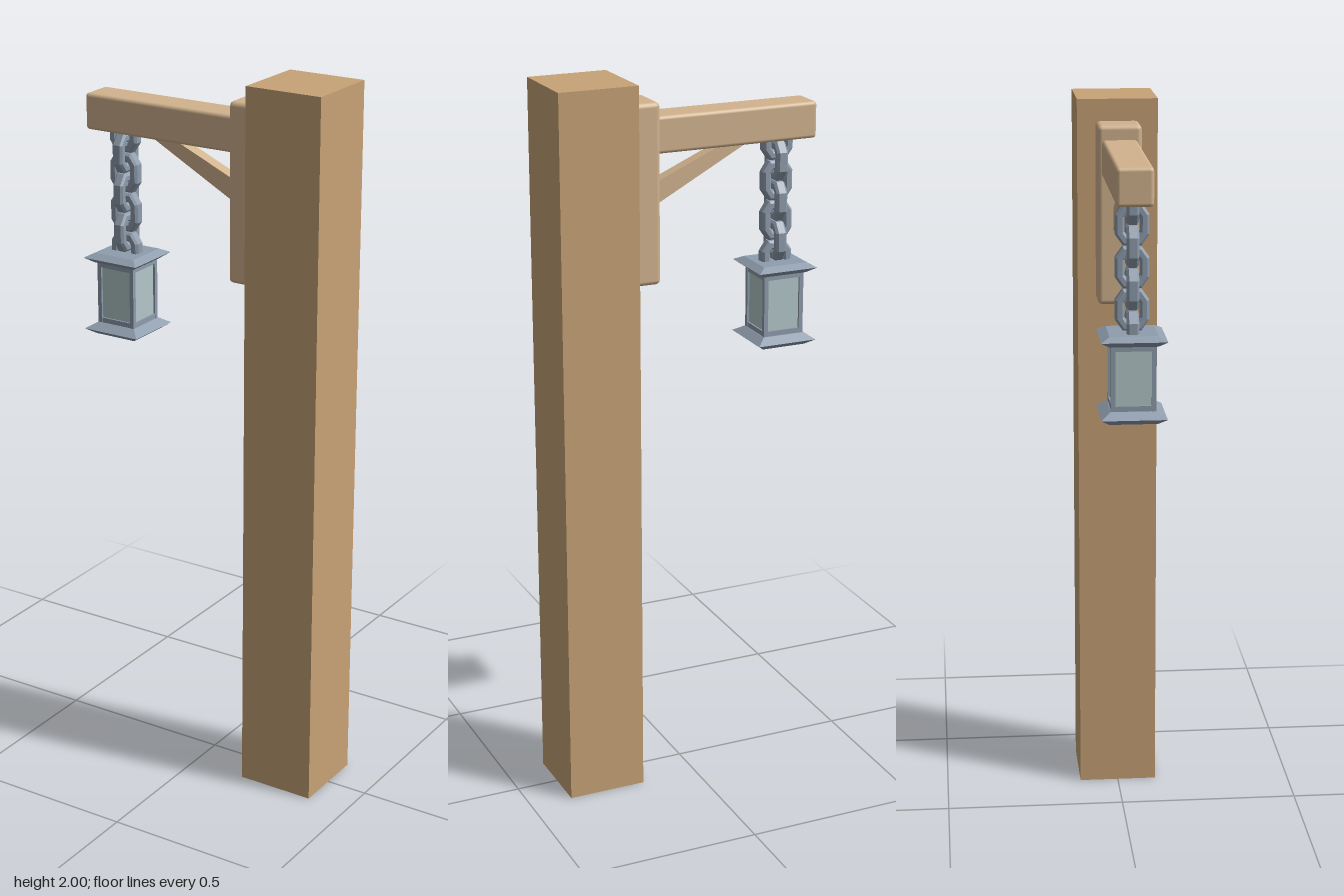
import * as THREE from 'three';
import { RoundedBoxGeometry } from 'three/addons/geometries/RoundedBoxGeometry.js';

const mat = (name, color, flatShading = false) => {
  const m = new THREE.MeshStandardMaterial({ color, flatShading });
  m.name = name;
  return m;
};

export function createModel() {
  const model = new THREE.Group();
  model.name = 'lanternPost';
  const wood = mat('postWood', 0xc8a377);
  const paleWood = mat('paleWood', 0xd2b48f);
  const iron = mat('iron', 0x8f9dad, true);
  const glass = mat('glass', 0xb4c8ca);

  const add = (parent, name, geometry, material, x = 0, y = 0, z = 0) => {
    const mesh = new THREE.Mesh(geometry, material);
    mesh.name = name;
    mesh.position.set(x, y, z);
    parent.add(mesh);
    return mesh;
  };

  // Timber: post, mounting plate and arm
  add(model, 'post', new THREE.BoxGeometry(0.22, 2, 0.22), wood, 0.272, 1, 0);
  add(model, 'mountingPlate', new RoundedBoxGeometry(0.11, 0.49, 0.12, 2, 0.013), paleWood, 0.134, 1.695, 0);
  add(model, 'arm', new RoundedBoxGeometry(0.485, 0.1, 0.096, 2, 0.01), paleWood, -0.1405, 1.85, 0);

  // Diagonal brace under the arm
  const braceShape = new THREE.Shape([
    [-0.205, 1.808], [0.09, 1.65], [0.09, 1.712], [-0.13, 1.808],
  ].map(([x, y]) => new THREE.Vector2(x, y)));
  const brace = new THREE.ExtrudeGeometry(braceShape, { depth: 0.036, bevelEnabled: false });
  add(model, 'brace', brace.translate(0, 0, -0.018), paleWood);

  // Hanging lantern and chain share one axis
  const hanging = new THREE.Group();
  hanging.name = 'hangingLantern';
  hanging.position.x = -0.286;
  model.add(hanging);

  // Chain of clipped-corner links, turned alternately by a quarter
  const outline = (w, h, c) => [
    [w, h - c], [w - c * 0.7, h], [c * 0.7 - w, h], [-w, h - c],
    [-w, c - h], [c * 0.7 - w, -h], [w - c * 0.7, -h], [w, c - h],
  ].map(([x, y]) => new THREE.Vector2(x, y));
  const bevel = 0.006;
  const linkShape = new THREE.Shape(outline(0.044 - bevel, 0.054 - bevel, 0.024));
  linkShape.holes.push(new THREE.Path(outline(0.02 + bevel, 0.029 + bevel, 0.014)));
  const link = new THREE.ExtrudeGeometry(linkShape, {
    depth: 0.02, bevelSize: bevel, bevelThickness: bevel, bevelSegments: 1,
  });
  link.translate(0, 0, -0.01);
  for (let i = 0; i < 7; i++) {
    const mesh = add(hanging, 'chainLink', link, iron, 0, 1.797 - i * 0.0555, 0);
    mesh.rotation.y = (i % 2) * Math.PI / 2;
  }

  // Square bevelled plates: profile of [half width, height]
  const squareLathe = (profile) => new THREE.LatheGeometry(
    profile.map(([half, y]) => new THREE.Vector2(half * Math.SQRT2, y)), 4, Math.PI / 4);
  add(hanging, 'lanternCap', squareLathe(
    [[0, 1.434], [0.063, 1.434], [0.086, 1.45], [0.063, 1.462], [0, 1.462]]), iron);
  add(hanging, 'lanternBase', squareLathe(
    [[0, 1.229], [0.063, 1.229], [0.086, 1.245], [0.06, 1.262], [0, 1.262]]), iron);

  // Glass box in a frame of corner bars and rails
  add(hanging, 'glassPane', new THREE.BoxGeometry(0.106, 0.18, 0.106), glass, 0, 1.348, 0);
  const bar = new THREE.BoxGeometry(0.012, 0.18, 0.012);
  const rail = new THREE.BoxGeometry(0.094, 0.014, 0.01);
  for (let i = 0; i < 4; i++) {
    const side = new THREE.Group();
    side.name = 'lanternFrameSide';
    side.rotation.y = i * Math.PI / 2;
    hanging.add(side);
    add(side, 'cornerBar', bar, iron, 0.053, 1.348, 0.053);
    for (const y of [1.269, 1.428]) add(side, 'rail', rail, iron, 0, y, 0.053);
  }
  return model;
}
